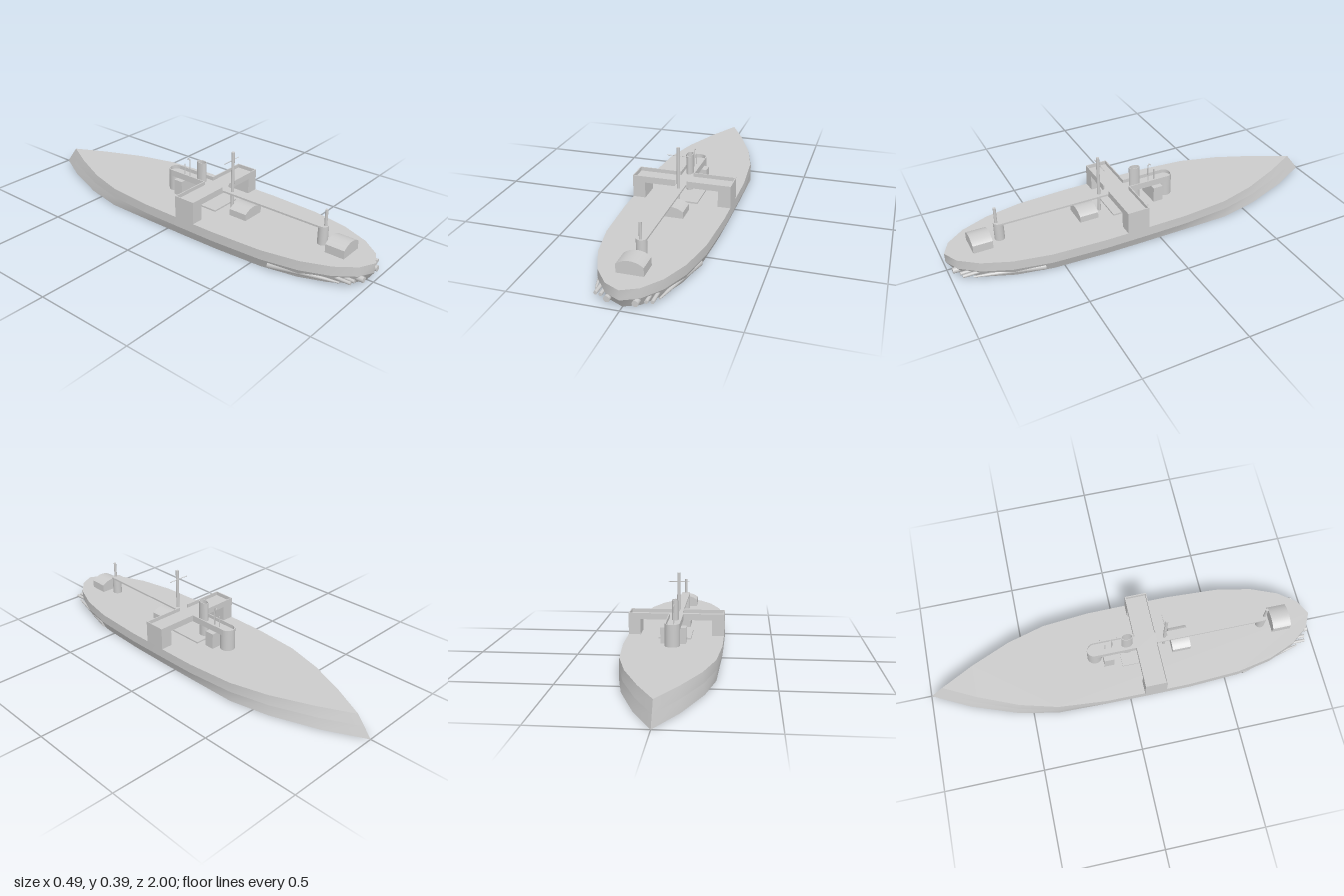
import * as THREE from 'three';

const mat = new THREE.MeshStandardMaterial({ color: 0xcccccc, side: THREE.DoubleSide });
const DECK = 0.095;

export function createModel() {
  const root = new THREE.Group();

  const add = (name, geo, x = 0, y = 0, z = 0) => {
    const m = new THREE.Mesh(geo, mat);
    m.name = name;
    m.position.set(x, y, z);
    root.add(m);
    return m;
  };
  // box given by its limits
  const box = (name, x0, x1, y0, y1, z0, z1) =>
    add(name, new THREE.BoxGeometry(x1 - x0, y1 - y0, z1 - z0), (x0 + x1) / 2, (y0 + y1) / 2, (z0 + z1) / 2);
  // round bar between two points
  const bar = (name, a, b, ra, rb = ra, seg = 16) => {
    const p = new THREE.Vector3(...a), q = new THREE.Vector3(...b), d = q.clone().sub(p);
    const m = add(name, new THREE.CylinderGeometry(rb, ra, d.length(), seg));
    m.position.copy(p).add(q).multiplyScalar(0.5);
    m.quaternion.setFromUnitVectors(new THREE.Vector3(0, 1, 0), d.normalize());
    return m;
  };
  // plan outline (x, z) raised from y0 to y1
  const slab = (name, shape, y0, y1) => {
    const g = new THREE.ExtrudeGeometry(shape, { depth: y1 - y0, bevelEnabled: false, curveSegments: 16 });
    g.rotateX(Math.PI / 2);
    return add(name, g, 0, y1, 0);
  };

  // ---- Hull: deck z, deck x, bottom z, bottom x from bow to stern ----
  const stations = [
    [-0.925, 0, -1, 0], [-0.76, 0.085, -0.81, 0.098], [-0.56, 0.17, -0.58, 0.182],
    [-0.37, 0.222, -0.38, 0.224], [-0.13, 0.243, -0.13, 0.226], [0.1, 0.245, 0.1, 0.226],
    [0.3, 0.245, 0.3, 0.224], [0.56, 0.232, 0.55, 0.212], [0.74, 0.197, 0.725, 0.178],
    [0.873, 0.143, 0.85, 0.128], [0.963, 0.074, 0.935, 0.066], [1, 0, 0.968, 0],
  ];
  const loop = (y, pick) => {
    const half = stations.map((s, i) => { const [x, z] = pick(s, i); return new THREE.Vector3(x, y, z); });
    const other = half.slice(0, -1).reverse().map(p => new THREE.Vector3(-p.x, p.y, p.z));
    return [...half, ...other];
  };
  const bottom = loop(0, s => [s[3], s[2]]);
  const chine = loop(0.048, (s, i) => (i > 3 ? [s[1], s[0]] : [(s[1] + s[3]) / 2, (s[0] + s[2]) / 2]));
  const deck = loop(DECK, s => [s[1], s[0]]);

  const strip = (name, lo, hi) => {
    const n = lo.length, index = [];
    for (let i = 0; i < n - 1; i++) index.push(i, n + i, i + 1, n + i, n + i + 1, i + 1);
    const g = new THREE.BufferGeometry().setFromPoints([...lo, ...hi]);
    g.setIndex(index);
    g.computeVertexNormals();
    add(name, g);
  };
  strip('lowerHullSide', bottom, chine);
  strip('upperHullSide', chine, deck);
  const cap = (name, ring, sign) => {
    const pts = ring.slice(0, -1).map(p => new THREE.Vector2(p.x, -sign * p.z));
    const g = new THREE.ShapeGeometry(new THREE.Shape(pts));
    g.rotateX(-sign * Math.PI / 2);
    add(name, g, 0, ring[0].y, 0);
  };
  cap('deck', deck, 1);
  cap('hullBottom', bottom, -1);

  // ---- Bridge and rounded walkway, T-shaped tray with a parapet ----
  const B0 = 0.07, B1 = 0.182, W = 0.245, R = 0.037, RZ = -0.14, GAP = 0.028;
  const tee = (t) => {
    const pts = [[GAP, B1 - t], [W - t, B1 - t], [W - t, B0 + t], [R - t, B0 + t]];
    for (let i = 0; i <= 16; i++) {
      const a = i / 16 * Math.PI;
      pts.push([(R - t) * Math.cos(a), RZ - (R - t) * Math.sin(a)]);
    }
    pts.push([t - R, B0 + t], [t - W, B0 + t], [t - W, B1 - t], [-GAP, B1 - t]);
    return pts.map(p => new THREE.Vector2(...p));
  };
  slab('bridgeFloor', new THREE.Shape(tee(0)), 0.175, 0.188);
  slab('bridgeParapet', new THREE.Shape([...tee(0), ...tee(0.005).reverse()]), 0.188, 0.207);
  for (const s of [-1, 1]) {
    const [a, b] = [s * 0.183, s * W].sort((p, q) => p - q);
    box('bridgeLeg', a, b, DECK, 0.175, B0, B1);
  }
  bar('forwardTower', [0, DECK, RZ], [0, 0.176, RZ], R, R, 32);
  box('deckhouse', -0.063, 0.063, DECK, 0.175, -0.1, -0.05);
  box('deckPlate', -0.082, 0.082, DECK, 0.103, -0.01, B1);

  // ---- Oval open funnel ----
  const oval = new THREE.Shape().absellipse(0, 0.028, 0.018, 0.028, 0, Math.PI * 2);
  oval.holes.push(new THREE.Path().absellipse(0, 0.028, 0.015, 0.025, 0, Math.PI * 2));
  slab('funnel', oval, DECK, 0.288);

  // ---- Catwalk, stern post and masts ----
  const walk = new THREE.Shape();
  walk.moveTo(-0.024, B1 - 0.01).lineTo(0.024, B1 - 0.01).lineTo(0.024, 0.735);
  walk.absarc(0, 0.735, 0.024, 0, Math.PI, false);
  slab('catwalk', walk, 0.179, 0.188);
  bar('sternPost', [0, DECK, 0.735], [0, 0.18, 0.735], 0.024, 0.024, 24);
  bar('sternMast', [0, 0.18, 0.745], [0, 0.268, 0.745], 0.007);
  bar('mainMast', [0, DECK, 0.222], [0, 0.394, 0.222], 0.008);
  bar('mastYard', [-0.057, 0.348, 0.213], [0.057, 0.348, 0.213], 0.002, 0.002, 8);

  // ---- Hooked vent and short vent on the walkway ----
  const hook = new THREE.CatmullRomCurve3([[0.18, -0.05], [0.27, -0.05], [0.281, -0.054], [0.281, -0.06], [0.274, -0.063]]
    .map(([y, z]) => new THREE.Vector3(0, y, z)));
  add('hookedVent', new THREE.TubeGeometry(hook, 24, 0.003, 8));
  bar('shortVent', [0, 0.18, -0.083], [0, 0.245, -0.083], 0.003, 0.003, 8);

  // ---- Arched hatches ----
  const hatch = (name, z0, z1, wall, top) => {
    const w = 0.061, h = top - wall, r = (w * w + h * h) / (2 * h), a = Math.asin(w / r);
    const s = new THREE.Shape();
    s.moveTo(-w, DECK).lineTo(w, DECK).lineTo(w, wall);
    s.absarc(0, top - r, r, Math.PI / 2 - a, Math.PI / 2 + a, false);
    add(name, new THREE.ExtrudeGeometry(s, { depth: z1 - z0, bevelEnabled: false, curveSegments: 14 }), 0, 0, z0);
  };
  hatch('midHatch', 0.255, 0.35, 0.127, 0.148);
  hatch('sternHatch', 0.785, 0.88, 0.135, 0.157);

  // ---- Stern fairings and pipes, mirrored ----
  for (const s of [-1, 1]) {
    bar('sternFairing', [s * 0.206, 0.025, 0.59], [s * 0.137, 0.027, 0.91], 0.02, 0.004, 20);
    for (const [x, r, z0, z1] of [[0.121, 0.008, 0.84, 0.955], [0.097, 0.008, 0.86, 0.96], [0.06, 0.014, 0.88, 0.985]])
      bar('sternPipe', [s * x, 0.034, z0], [s * x, 0.034, z1], r);
  }
  return root;
}
